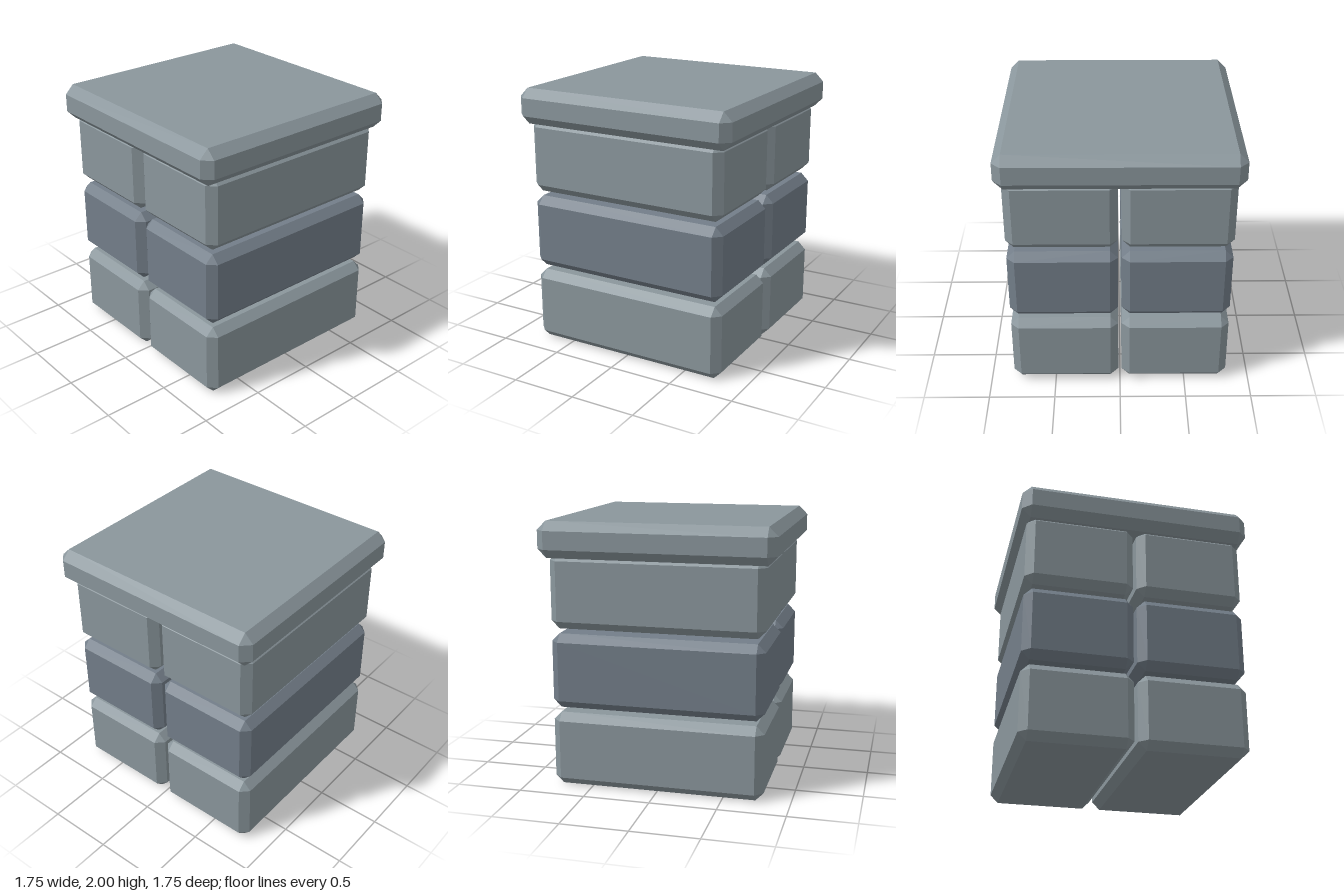
import * as THREE from 'three';
import { ConvexGeometry } from 'three/addons/geometries/ConvexGeometry.js';

// Box with every edge cut by a flat 45 degree chamfer
function chamferBox(w, h, d, c) {
  const points = [];
  for (const sx of [-1, 1]) for (const sy of [-1, 1]) for (const sz of [-1, 1]) {
    const x = w / 2, y = h / 2, z = d / 2;
    points.push(
      new THREE.Vector3(sx * x, sy * (y - c), sz * (z - c)),
      new THREE.Vector3(sx * (x - c), sy * y, sz * (z - c)),
      new THREE.Vector3(sx * (x - c), sy * (y - c), sz * z),
    );
  }
  return new ConvexGeometry(points);
}

export function createModel() {
  const group = new THREE.Group();
  const lightStone = new THREE.MeshStandardMaterial({ color: 0x8a969c, flatShading: true });
  const darkStone = new THREE.MeshStandardMaterial({ color: 0x737e89, flatShading: true });

  // Three courses of paired stone blocks, the middle one darker
  const blockHeight = 0.566;
  const blockGeometry = chamferBox(0.814, blockHeight, 1.6, 0.06);
  for (let row = 0; row < 3; row++) {
    for (const side of [-1, 1]) {
      const block = new THREE.Mesh(blockGeometry, row === 1 ? darkStone : lightStone);
      block.name = `${['lower', 'middle', 'upper'][row]}Block${side > 0 ? 'Left' : 'Right'}`;
      block.position.set(side * 0.42, blockHeight / 2 + row * 0.603, 0);
      group.add(block);
    }
  }

  // Overhanging capstone
  const cap = new THREE.Mesh(chamferBox(1.752, 0.27, 1.752, 0.067), lightStone);
  cap.name = 'capstone';
  cap.position.y = 2 - 0.135;
  group.add(cap);

  return group;
}
